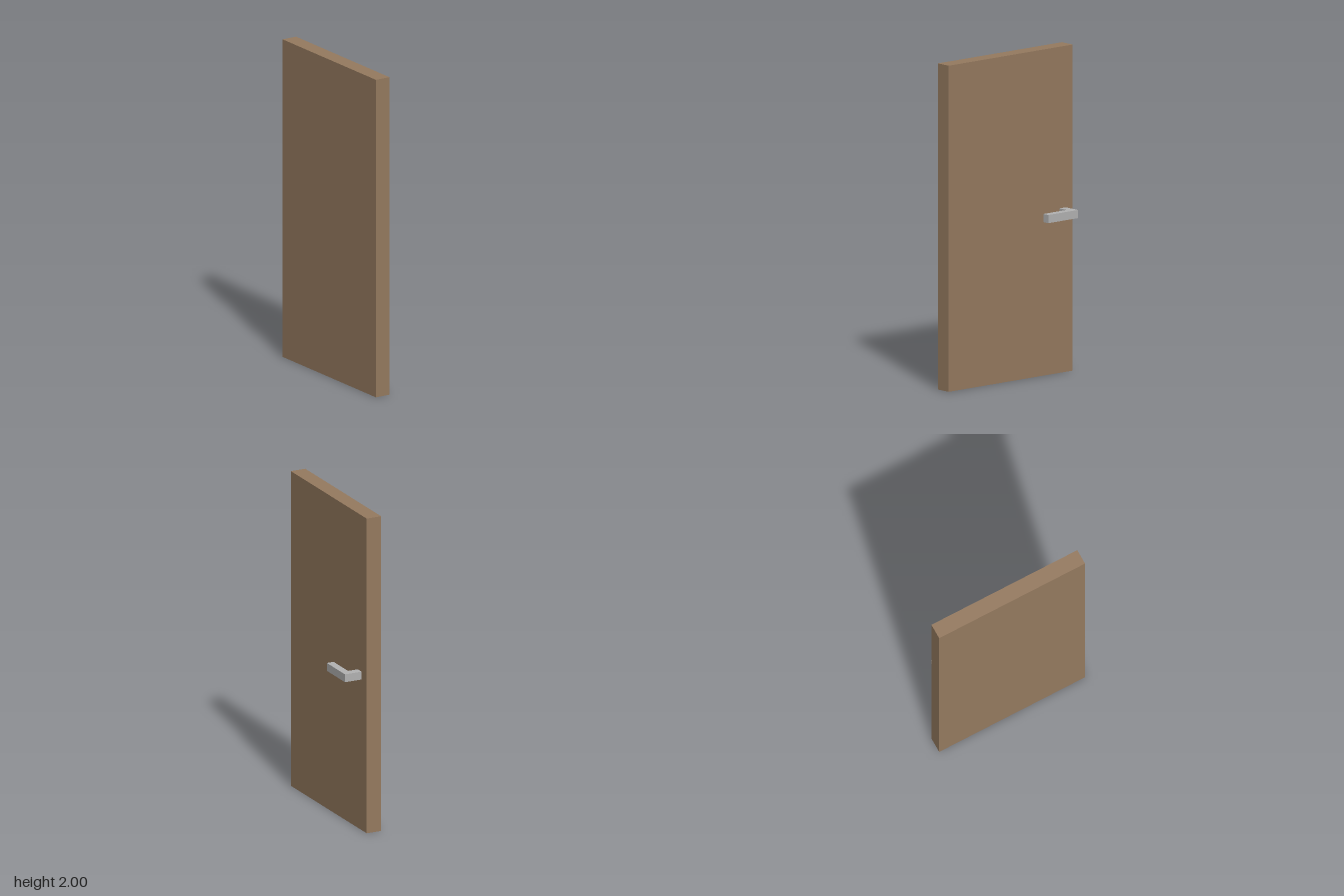
import * as THREE from 'three';

export function createModel() {
  const group = new THREE.Group();
  const wood = new THREE.MeshStandardMaterial({ color: 0x957a5f });
  wood.name = 'brown wood';
  const metal = new THREE.MeshStandardMaterial({ color: 0xb2b2b2 });
  metal.name = 'grey metal';

  // Door slab
  const door = new THREE.Mesh(new THREE.BoxGeometry(0.098, 2, 1), wood);
  door.name = 'doorPanel';
  door.position.set(-0.058, 1, 0);
  group.add(door);

  // L-shaped lever handle: plan outline as (x, -z), extruded upwards
  const outline = [
    [-0.005, 0.39], [0.061, 0.39], [0.061, 0.2],
    [0.107, 0.2], [0.107, 0.44], [-0.005, 0.44],
  ].map(([x, y]) => new THREE.Vector2(x, y));
  const handle = new THREE.Mesh(
    new THREE.ExtrudeGeometry(new THREE.Shape(outline), { depth: 0.05, bevelEnabled: false }),
    metal,
  );
  handle.name = 'leverHandle';
  handle.rotation.x = -Math.PI / 2;
  handle.position.y = 0.96;
  group.add(handle);

  return group;
}
